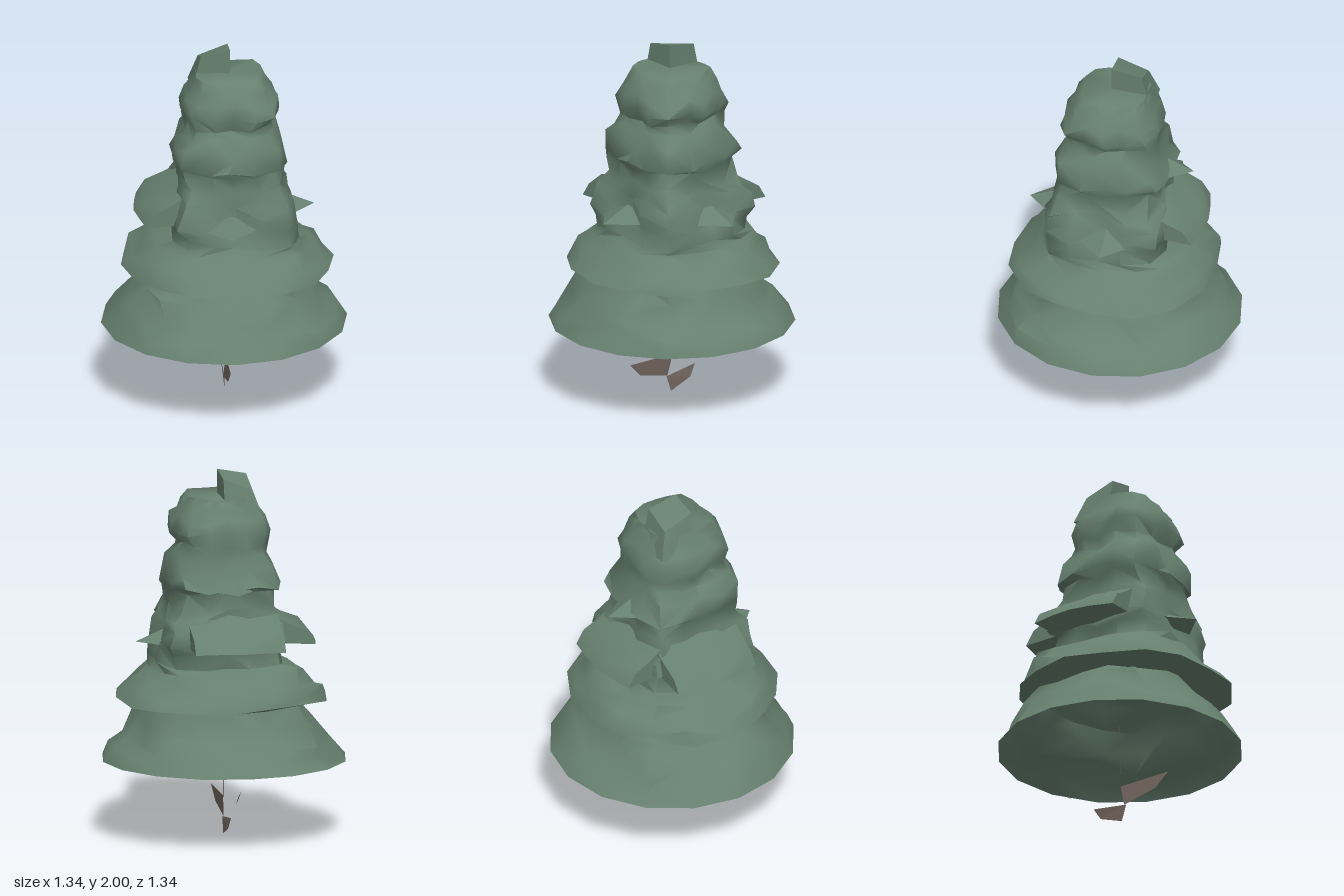
import * as THREE from 'three';
import { toCreasedNormals } from 'three/addons/utils/BufferGeometryUtils.js';

const SIDES = 16;

// rings from the hem to the top: [height, radius along axes, radius along diagonals, lean towards +x +z, jitter]
const RINGS = [
  [0.42, 0.668, 0.668, 0, 0], [0.50, 0.60, 0.63, 0, 0.02], [0.57, 0.53, 0.57, 0, 0.03], [0.66, 0.44, 0.51, 0, 0.03], [0.74, 0.40, 0.46, 0, 0.02],
  [0.76, 0.57, 0.58, 0.02, 0.012], [0.82, 0.53, 0.555, 0.01, 0.02], [0.88, 0.46, 0.50, 0, 0.025], [0.93, 0.40, 0.44, 0, 0.02], [0.97, 0.315, 0.41, 0.04, 0.02],
  [1.05, 0.315, 0.41, 0.04, 0.015], [1.08, 0.31, 0.44, 0.03, 0.015], [1.15, 0.29, 0.42, 0.03, 0.02], [1.21, 0.28, 0.39, 0.03, 0.025], [1.27, 0.275, 0.345, 0.03, 0.02],
  [1.36, 0.275, 0.34, 0.02, 0.015], [1.39, 0.30, 0.365, 0.01, 0.015], [1.48, 0.27, 0.35, 0.03, 0.025], [1.55, 0.24, 0.30, 0.02, 0.02], [1.61, 0.225, 0.28, 0.015, 0.015],
  [1.68, 0.265, 0.31, 0.025, 0.015], [1.75, 0.235, 0.275, 0.03, 0.02], [1.81, 0.20, 0.24, 0.03, 0.012], [1.87, 0.175, 0.21, 0.02, 0.005],
];

function seeded(seed) {
  return () => {
    seed = (seed * 16807) % 2147483647;
    return (seed / 2147483647) * 2 - 1;
  };
}

function surface(points, index) {
  const g = new THREE.BufferGeometry();
  g.setAttribute('position', new THREE.Float32BufferAttribute(points, 3));
  g.setIndex(index);
  return g;
}

// tiered, crumpled skin, open at the hem
function foliageGeometry() {
  const rand = seeded(4711);
  const points = [], index = [];
  RINGS.forEach(([y, axis, diag, lean, jitter], i) => {
    for (let j = 0; j < SIDES; j++) {
      const a = (j / SIDES) * Math.PI * 2 + rand() * jitter * 3;
      const r = THREE.MathUtils.lerp(axis, diag, [0, 0.5, 1, 0.5][j % 4]) + rand() * jitter;
      points.push(Math.sin(a) * r + lean, y + rand() * jitter * 1.4, Math.cos(a) * r + lean);
      if (i === RINGS.length - 1) continue;
      const p = i * SIDES + j, q = i * SIDES + ((j + 1) % SIDES);
      // alternate the diagonal for an irregular crumple
      if (rand() > 0) index.push(p, q, q + SIDES, p, q + SIDES, p + SIDES);
      else index.push(p, q, p + SIDES, q, q + SIDES, p + SIDES);
    }
  });
  const top = RINGS.length * SIDES;
  points.push(0.02, 1.87, 0.02);
  for (let j = 0; j < SIDES; j++) index.push(top - SIDES + j, top - SIDES + ((j + 1) % SIDES), top);
  return toCreasedNormals(surface(points, index), 1.1);
}

// pointed branch: a flat wedge reaching outward along +z
function spikeGeometry(inner, reach, width, rise) {
  const p = [-width, 0, inner, width, 0, inner, 0, 0, reach, 0, rise, inner];
  return surface(p, [0, 2, 3, 2, 1, 3, 0, 1, 2]).toNonIndexed();
}

// broad branch: cross-sections from the body out to a drooping edge
function boughGeometry(reach, width) {
  const points = [], index = [];
  const sections = [[0.24, 0.18], [0.35, 0.12], [reach - 0.04, 0.07], [reach, 0], [0.26, 0.0]];
  const rand = seeded(97);
  sections.forEach(([z, y], i) => {
    for (let j = 0; j < 5; j++) {
      const t = j / 2 - 1;
      points.push(t * width, y + rand() * 0.012, z - t * t * 0.04 + rand() * 0.01);
      if (i < sections.length - 1 && j < 4) {
        const p = i * 5 + j;
        index.push(p, p + 5, p + 1, p + 1, p + 5, p + 6);
      }
    }
  });
  // close both ends
  index.push(0, 20, 5, 5, 20, 10, 10, 20, 15, 4, 9, 24, 9, 14, 24, 14, 19, 24);
  return toCreasedNormals(surface(points, index), 0.95);
}

// thin bent sheet close to the plane x = 0
function sheetGeometry(corners) {
  const index = [];
  for (let i = 1; i < corners.length - 1; i++) index.push(0, i, i + 1);
  return surface(corners.flat(), index).toNonIndexed();
}

// off-centre tip: peak at its inner corner, falling away to the outer one
function tipGeometry() {
  const tip = new THREE.BoxGeometry(0.16, 0.24, 0.17).translate(-0.05, 1.88, -0.045);
  const pos = tip.attributes.position;
  for (let i = 0; i < pos.count; i++) {
    const outX = pos.getX(i) < -0.1, outZ = pos.getZ(i) < -0.1;
    if (pos.getY(i) > 1.9) pos.setY(i, outX && outZ ? 1.91 : outX || outZ ? 1.97 : 2);
    else {
      if (outX) pos.setX(i, -0.18);
      if (outZ) pos.setZ(i, -0.18);
    }
  }
  tip.computeVertexNormals();
  return tip;
}

export function createModel() {
  const green = new THREE.MeshStandardMaterial({ color: 0x66806f, side: THREE.DoubleSide });
  green.name = 'needle green';
  const brown = new THREE.MeshStandardMaterial({ color: 0x75685f, side: THREE.DoubleSide });
  brown.name = 'bark brown';

  const tree = new THREE.Group();
  tree.name = 'pineTree';
  const add = (name, geometry, material) => {
    if (!geometry.attributes.normal) geometry.computeVertexNormals();
    const mesh = new THREE.Mesh(geometry, material);
    mesh.name = name;
    tree.add(mesh);
    return mesh;
  };

  add('foliage', foliageGeometry(), green);
  add('treeTip', tipGeometry(), green);

  // pointed branches: [quarter turn, height, inner radius, reach, half width, rise]
  [
    [0, 1.075, 0.30, 0.50, 0.20, 0.08], [1, 1.075, 0.30, 0.49, 0.20, 0.08], [2, 1.38, 0.23, 0.41, 0.14, 0.08],
  ].forEach(([turn, y, ...shape]) => {
    const spike = add('pointedBranch', spikeGeometry(...shape), green);
    spike.position.y = y;
    spike.rotation.y = turn * Math.PI / 2;
  });

  // broad branches on the back and the right side
  [2, 3].forEach((turn) => {
    const bough = add('broadBranch', boughGeometry(0.485, 0.25), green);
    bough.position.y = 1.075;
    bough.rotation.y = turn * Math.PI / 2;
  });

  // trunk remnants: a sliver of stem and paper-thin roots
  add('stem', sheetGeometry([[-0.007, 0.66, 0], [0, 0.2, 0.003], [0.006, 0.2, 0], [0, 0.66, -0.003]]), brown);
  add('frontRoot', sheetGeometry([[0.005, 0.21, 0], [0.007, 0.22, 0.31], [0, 0.14, 0.23], [-0.004, 0.09, 0.03]]), brown);
  add('backRoot', sheetGeometry([[0, 0.09, 0.04], [0.003, 0, 0.01], [0.005, 0.05, -0.13], [-0.003, 0.115, -0.17]]), brown);
  add('looseRoot', sheetGeometry([[0, 0.21, -0.31], [0.004, 0.262, -0.38], [0, 0.32, -0.46], [-0.004, 0.27, -0.38]]), brown);

  return tree;
}
